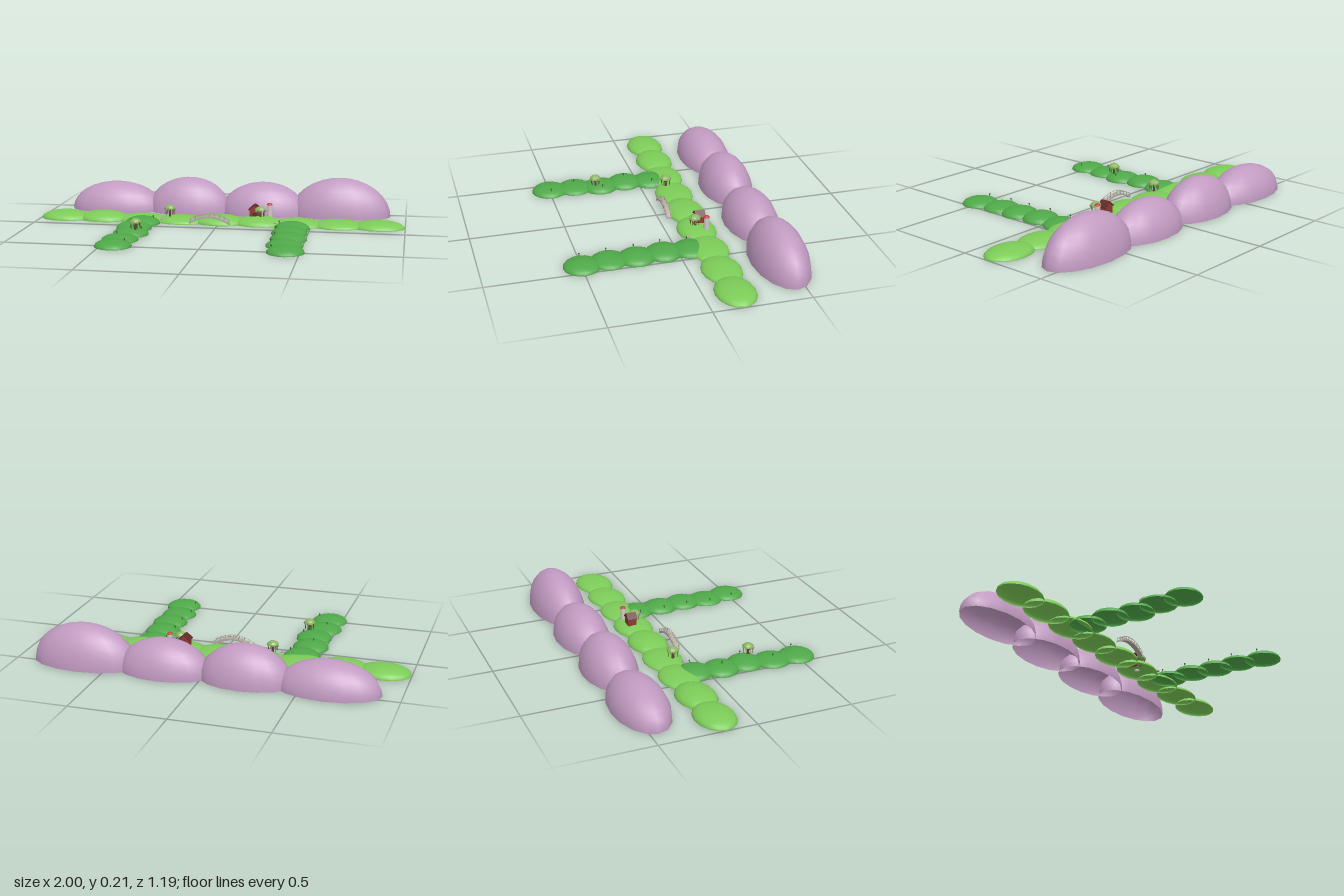
import * as THREE from 'three';

const mat = (color, extra = {}) => new THREE.MeshStandardMaterial({ color, side: THREE.DoubleSide, ...extra });
const lilac = mat(0xc29bc2), meadow = mat(0x7ccb58), grass = mat(0x4fa848), stone = mat(0xb5aca2);
const barnRed = mat(0x8c3a32), roofBrown = mat(0x5f2b27), silver = mat(0xd0cbc4), capRed = mat(0xc8403c);
const wood = mat(0x5c4632), leaf = mat(0x8fb566, { flatShading: true }), shrubGreen = mat(0x2f6b32);

function add(parent, name, geometry, material, x = 0, y = 0, z = 0) {
  const mesh = new THREE.Mesh(geometry, material);
  mesh.name = name;
  mesh.position.set(x, y, z);
  parent.add(mesh);
  return mesh;
}

// Open half sphere standing on the ground
const domeGeometry = new THREE.SphereGeometry(1, 16, 8, 0, Math.PI * 2, 0, Math.PI / 2);
function dome(parent, name, material, x, z, rx, h, rz) {
  add(parent, name, domeGeometry, material, x, 0, z).scale.set(rx, h, rz);
}

// Tree with a low faceted crown, drooping clumps and a ring of thin stems
function tree(x, y, z) {
  const group = new THREE.Group();
  group.name = 'tree';
  group.position.set(x, y, z);
  add(group, 'trunk', new THREE.CylinderGeometry(0.004, 0.006, 0.045, 8), wood, 0, 0.02, 0);
  const crown = add(group, 'crown', new THREE.SphereGeometry(0.031, 8, 4, 0, Math.PI * 2, 0, Math.PI / 2), leaf, 0, 0.04, 0);
  crown.scale.y = 0.75;
  add(group, 'crownBase', new THREE.CircleGeometry(0.031, 8), leaf, 0, 0.04, 0).rotation.x = Math.PI / 2;
  for (let i = 0; i < 8; i++) {
    const a = i * Math.PI / 4, c = Math.cos(a), s = Math.sin(a);
    add(group, 'clump', new THREE.ConeGeometry(0.007, 0.016, 5), leaf, c * 0.027, 0.036, s * 0.027).rotation.x = Math.PI;
    add(group, 'stem', new THREE.CylinderGeometry(0.0014, 0.0014, 0.03, 5), wood, c * 0.024, 0.024, s * 0.024);
  }
  return group;
}

// Gabled barn with an overhanging roof
function barn() {
  const group = new THREE.Group();
  group.name = 'barn';
  group.position.set(0.19, 0.035, -0.18);
  const w = 0.027, eave = 0.04, ridge = 0.064;
  const gable = new THREE.Shape([[-w, 0], [w, 0], [w, eave], [0, ridge], [-w, eave]].map(p => new THREE.Vector2(...p)));
  add(group, 'barnWalls', new THREE.ExtrudeGeometry(gable, { depth: 0.046, bevelEnabled: false }), barnRed, 0, 0, -0.023);
  for (const side of [-1, 1]) {
    const slope = add(group, 'roofPanel', new THREE.BoxGeometry(0.042, 0.004, 0.055), roofBrown, side * 0.017, 0.053, 0);
    slope.rotation.z = -side * Math.atan2(ridge - eave, w);
  }
  add(group, 'barnDoor', new THREE.BoxGeometry(0.018, 0.024, 0.002), roofBrown, 0, 0.012, 0.0235);
  return group;
}

// Silo with a red cap
function silo() {
  const group = new THREE.Group();
  group.name = 'silo';
  group.position.set(0.27, 0.03, -0.195);
  add(group, 'siloBody', new THREE.CylinderGeometry(0.014, 0.014, 0.07, 16), silver, 0, 0.035, 0);
  const cap = add(group, 'siloCap', new THREE.SphereGeometry(0.0155, 16, 6, 0, Math.PI * 2, 0, Math.PI / 2), capRed, 0, 0.069, 0);
  cap.scale.y = 0.7;
  return group;
}

// Arched footbridge with posts and rails
function bridge() {
  const group = new THREE.Group();
  group.name = 'bridge';
  group.position.set(-0.038, 0, -0.05);
  const half = 0.11, base = 0.02, rise = 0.036, n = 14;
  const arch = x => base + rise * (1 - (x / half) ** 2);
  const xs = Array.from({ length: n + 1 }, (_, i) => -half + 2 * half * i / n);
  const outline = [...xs.map(x => [x, arch(x)]), ...xs.reverse().map(x => [x, arch(x) - 0.01])];
  const deck = new THREE.Shape(outline.map(p => new THREE.Vector2(...p)));
  add(group, 'bridgeDeck', new THREE.ExtrudeGeometry(deck, { depth: 0.026, bevelEnabled: false }), stone, 0, 0, -0.013);
  for (const z of [-0.012, 0.012]) {
    for (let i = 0; i <= 8; i++) {
      const x = (i / 4 - 1) * half * 0.96;
      add(group, 'bridgePost', new THREE.BoxGeometry(0.004, 0.018, 0.003), stone, x, arch(x) + 0.007, z);
    }
    const path = new THREE.CatmullRomCurve3(xs.map(x => new THREE.Vector3(x * 0.96, arch(x * 0.96) + 0.013, z)));
    add(group, 'bridgeRail', new THREE.TubeGeometry(path, 24, 0.0015, 5), stone);
  }
  return group;
}

export function createModel() {
  const model = new THREE.Group();
  model.name = 'landscape';

  // Mountain range: x, half width, height
  for (const [x, rx, h] of [[-0.64, 0.265, 0.16], [-0.22, 0.24, 0.195], [0.205, 0.245, 0.178], [0.635, 0.28, 0.213]])
    dome(model, 'mountain', lilac, x, -0.457, rx, h, 0.14);

  // Row of meadow hills
  [0.045, 0.048, 0.036, 0.034, 0.045, 0.042, 0.036, 0.036, 0.04].forEach((h, i) =>
    dome(model, 'meadowHill', meadow, (i - 4) * 0.2148, -0.158, 0.141, h, 0.102));

  // Two arms of small hills running forward, with shrubs on them
  const heights = [0.041, 0.041, 0.039, 0.033, 0.036];
  const arms = [[-1, [0.41, 0.425, 0.41, 0.433, 0.434]], [1, [0.405, 0.405, 0.415, 0.41, 0.43]]];
  for (const [side, offsets] of arms) {
    offsets.forEach((offset, i) => {
      const x = side * offset, z = -0.068 + i * 0.1415;
      const h = heights[i] - (side > 0 && i === 0 ? 0.005 : 0);
      dome(model, 'armHill', grass, x, z, 0.096, h, 0.096);
      const inward = side > 0 ? -0.07 : (i % 2 ? -0.015 : 0.06);
      const ground = h * Math.sqrt(1 - (inward / 0.096) ** 2);
      add(model, 'shrubStem', new THREE.CylinderGeometry(0.0015, 0.0015, 0.012, 5), wood, x + inward, ground + 0.004, z);
      add(model, 'shrub', new THREE.SphereGeometry(0.0045, 8, 6), shrubGreen, x + inward, ground + 0.011, z);
    });
    // Stepping stone beside the arm
    add(model, 'steppingStone', new THREE.BoxGeometry(0.018, 0.006, 0.012), lilac, side * 0.31, 0.022, -0.083);
  }

  model.add(tree(-0.27, 0.034, -0.125), tree(-0.375, 0.032, 0.25), tree(0.225, 0.036, -0.145));
  model.add(barn(), silo(), bridge());
  return model;
}
